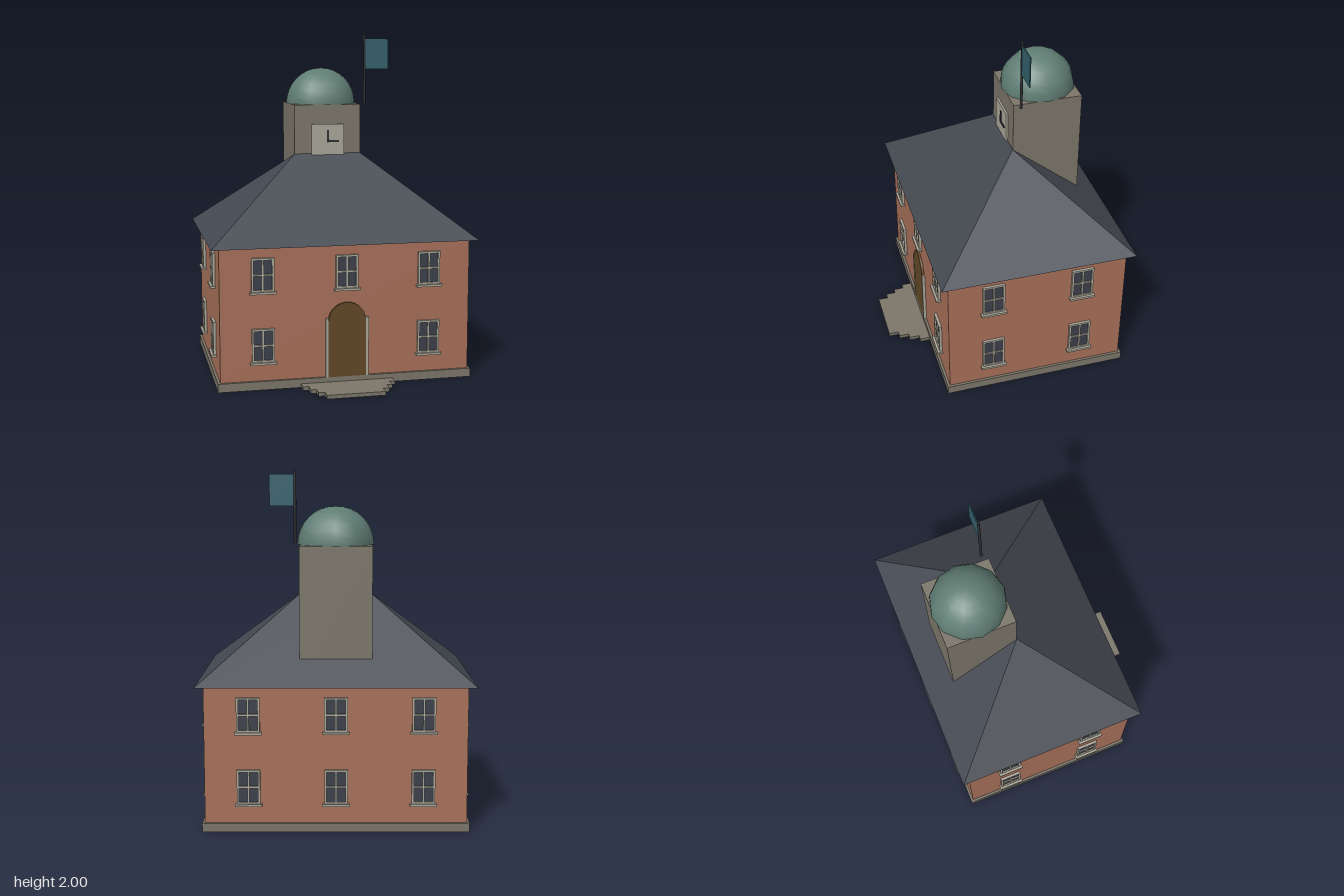
import * as THREE from 'three';

const mat = (name, color, side = THREE.FrontSide) => {
  const m = new THREE.MeshStandardMaterial({ color, side });
  m.name = name;
  return m;
};

export function createModel() {
  const brick = mat('brick', 0xa8705a);
  const stone = mat('stone', 0x7c766a);
  const slate = mat('slate', 0x434850);
  const trim = mat('pale trim', 0xaaa698);
  const glass = mat('glass', 0x3c404a);
  const wood = mat('door wood', 0x624826);
  const copper = mat('dome copper', 0x5f7d74, THREE.DoubleSide);
  const iron = mat('iron', 0x2b2f33);
  const cloth = mat('flag cloth', 0x33606c);

  const model = new THREE.Group();
  model.name = 'townHall';
  const add = (name, geo, material, parent = model) => {
    const mesh = new THREE.Mesh(geo, material);
    mesh.name = name;
    parent.add(mesh);
    return mesh;
  };
  // Box given by its limits on each axis
  const box = (name, material, [x0, x1], [y0, y1], [z0, z1], parent) => {
    const mesh = add(name, new THREE.BoxGeometry(x1 - x0, y1 - y0, z1 - z0), material, parent);
    mesh.position.set((x0 + x1) / 2, (y0 + y1) / 2, (z0 + z1) / 2);
    return mesh;
  };

  const midZ = -0.104, halfX = 0.73, halfZ = 0.529;

  // Plinth and walls
  box('plinth', stone, [-0.745, 0.745], [0, 0.05], [midZ - 0.544, midZ + 0.544]);
  box('walls', brick, [-halfX, halfX], [0.05, 0.82], [midZ - halfZ, midZ + halfZ]);

  // Hipped roof: four eave corners and a short ridge
  const ex = 0.777, ez = 0.574, eaveY = 0.82;
  const A = [-ex, eaveY, midZ + ez], B = [ex, eaveY, midZ + ez];
  const C = [ex, eaveY, midZ - ez], D = [-ex, eaveY, midZ - ez];
  const L = [-0.203, 1.287, midZ], R = [0.203, 1.287, midZ];
  const roofFaces = [
    A, B, R, A, R, L, // front
    C, D, L, C, L, R, // back
    B, C, R, D, A, L, // ends
    A, D, C, A, C, B, // underside
  ];
  const roofGeo = new THREE.BufferGeometry();
  roofGeo.setAttribute('position', new THREE.Float32BufferAttribute(roofFaces.flat(), 3));
  roofGeo.computeVertexNormals();
  add('roof', roofGeo, slate);

  // Window parts, facing +z with the wall at z = 0
  const rect = (shape, x0, x1, y0, y1) =>
    shape.moveTo(x0, y0).lineTo(x1, y0).lineTo(x1, y1).lineTo(x0, y1).closePath();
  const frameShape = rect(new THREE.Shape(), -0.065, 0.065, -0.097, 0.097);
  for (const [x0, x1] of [[-0.053, -0.005], [0.005, 0.053]])
    for (const [y0, y1] of [[-0.085, -0.005], [0.005, 0.085]])
      frameShape.holes.push(rect(new THREE.Path(), x0, x1, y0, y1));
  const frameGeo = new THREE.ExtrudeGeometry(frameShape, { depth: 0.016, bevelEnabled: false });

  const addWindow = (x, y, z, turn) => {
    const win = new THREE.Group();
    win.name = 'window';
    add('windowFrame', frameGeo, trim, win);
    box('windowGlass', glass, [-0.06, 0.06], [-0.09, 0.09], [0, 0.008], win);
    box('windowSill', trim, [-0.075, 0.075], [-0.108, -0.095], [0, 0.03], win);
    win.position.set(x, y, z);
    win.rotation.y = turn;
    model.add(win);
  };
  for (const y of [0.257, 0.664]) {
    for (const x of [-0.485, 0, 0.485]) {
      if (x !== 0 || y > 0.5) addWindow(x, y, midZ + halfZ, 0); // door takes the middle
      addWindow(x, y, midZ - halfZ, Math.PI);
    }
    for (const dz of [-0.265, 0.265]) {
      addWindow(halfX, y, midZ + dz, Math.PI / 2);
      addWindow(-halfX, y, midZ + dz, -Math.PI / 2);
    }
  }

  // Arched door with jambs
  const doorShape = new THREE.Shape();
  doorShape.moveTo(-0.11, 0.05).lineTo(0.11, 0.05).lineTo(0.11, 0.375);
  doorShape.absarc(0, 0.375, 0.11, 0, Math.PI, false);
  doorShape.closePath();
  const door = add('door',
    new THREE.ExtrudeGeometry(doorShape, { depth: 0.015, bevelEnabled: false, curveSegments: 7 }), wood);
  door.position.z = midZ + halfZ;
  for (const s of [-1, 1])
    box('doorJamb', trim, [s * 0.118 - 0.008, s * 0.118 + 0.008], [0.05, 0.395], [0.42, 0.443]);

  // Low entrance steps, each narrower and further out
  [[0.27, 0.5], [0.237, 0.56], [0.205, 0.618], [0.168, 0.676]].forEach(([w, z], i, all) =>
    box('step', stone, [-w, w], [0, 0.022], [i ? all[i - 1][1] : 0.44, z]));

  // Clock tower rising through the rear roof slope
  box('tower', stone, [-0.203, 0.203], [0.83, 1.582], [-0.512, -0.106]);
  box('clockFace', trim, [-0.1, 0.1], [1.265, 1.465], [-0.106, -0.094]);
  box('minuteHand', iron, [-0.006, 0.006], [1.355, 1.43], [-0.094, -0.088]);
  box('hourHand', iron, [-0.006, 0.068], [1.355, 1.367], [-0.094, -0.088]);

  // Dome
  const dome = add('dome',
    new THREE.SphereGeometry(0.217, 12, 8, 0, Math.PI * 2, 0, Math.PI / 2), copper);
  dome.position.set(0, 1.582, -0.309);

  // Flag
  const pole = add('flagpole', new THREE.CylinderGeometry(0.008, 0.008, 0.42, 8), iron);
  pole.position.set(0.237, 1.79, -0.139);
  box('flag', cloth, [0.242, 0.385], [1.793, 1.976], [-0.142, -0.136]);

  return model;
}
